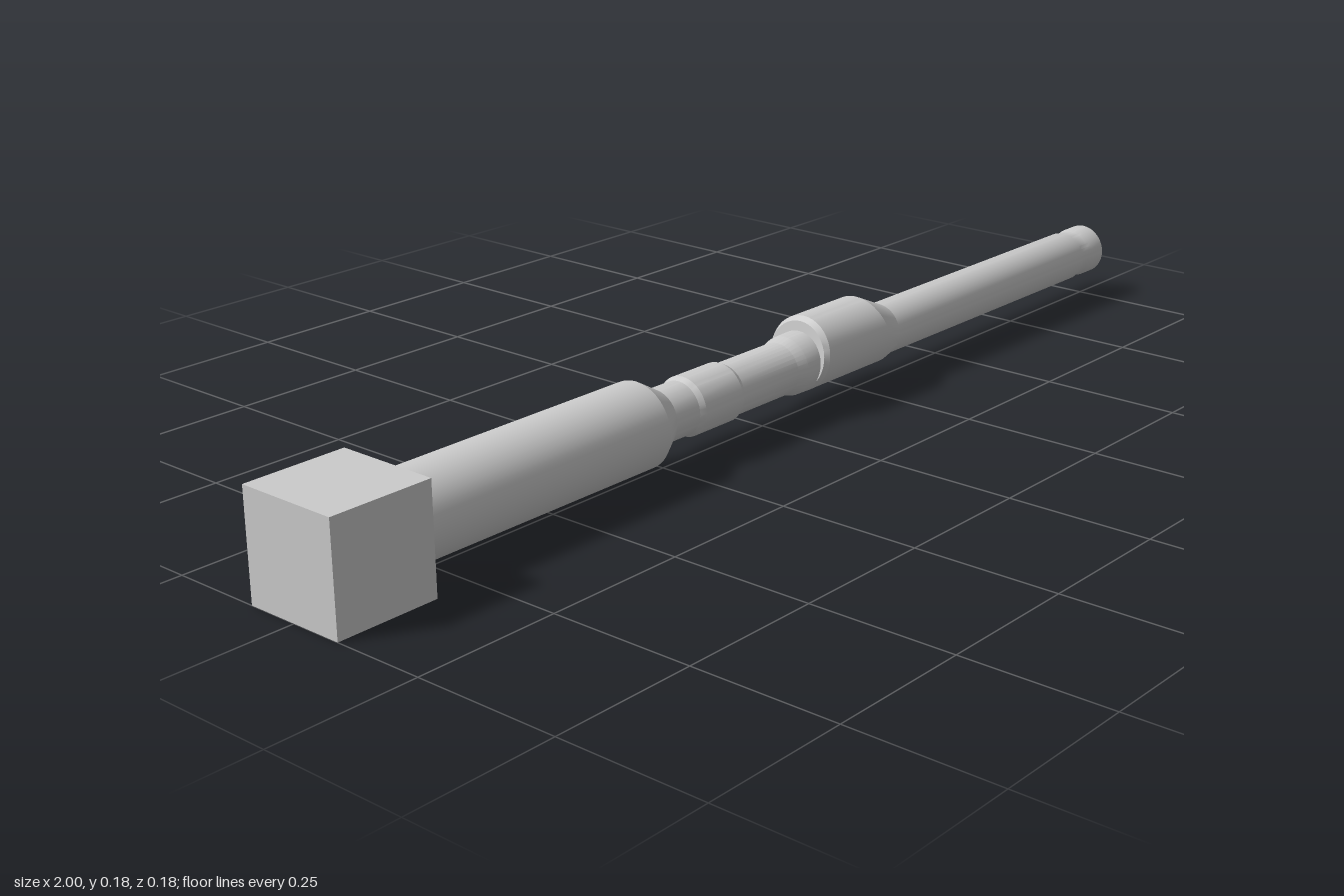
import * as THREE from 'three';
import { toCreasedNormals } from 'three/addons/utils/BufferGeometryUtils.js';

const AXIS = 0.091; // height of the tube's centre line
const SIDES = 40;

export function createModel() {
  const group = new THREE.Group();
  const material = new THREE.MeshStandardMaterial({ color: 0xcccccc });

  const add = (name, geometry) => {
    const mesh = new THREE.Mesh(toCreasedNormals(geometry, 0.3), material);
    mesh.name = name;
    group.add(mesh);
  };

  // Revolve [x, radius] pairs around the long axis
  const turned = (name, profile) => {
    const points = profile.map(([x, r]) => new THREE.Vector2(r, x));
    add(name, new THREE.LatheGeometry(points, SIDES).rotateZ(-Math.PI / 2).translate(0, AXIS, 0));
  };

  // Square block at the rear end
  add('endBlock', new THREE.BoxGeometry(0.18, 0.182, 0.182).translate(-0.91, AXIS, 0));

  // Thick rear sleeve with a tapered shoulder
  turned('rearSleeve', [[-0.83, 0], [-0.83, 0.073], [-0.31, 0.073], [-0.265, 0.047], [-0.265, 0]]);

  // Slim tube with a raised band, a flare, a muzzle neck and a hollow bore
  turned('tube', [
    [-0.28, 0.046], [-0.21, 0.046], [-0.2, 0.051], [-0.11, 0.051], [-0.1, 0.046],
    [0.04, 0.046], [0.06, 0.052], [0.1, 0.053], [0.12, 0.0465],
    [0.925, 0.0465], [0.935, 0.044], [0.955, 0.044], [0.965, 0.0465], [1, 0.0465],
    [1, 0.028], [0.85, 0.028], [0.85, 0],
  ]);

  // Offset collar, higher than the tube, with slanted ends: [x, radius, centre y, slant]
  const stations = [
    [0.092, 0.059, 0.102, 0.009],
    [0.102, 0.064, 0.104, 0.009],
    [0.272, 0.064, 0.104, -0.017],
    [0.325, 0.046, AXIS, 0],
  ];
  const spans = stations.length - 1;
  const collar = new THREE.CylinderGeometry(1, 1, 1, SIDES, spans).rotateZ(-Math.PI / 2);
  const p = collar.attributes.position;
  for (let i = 0; i < p.count; i++) {
    const [x, r, cy, slant] = stations[Math.round((p.getX(i) + 0.5) * spans)];
    const y = p.getY(i);
    p.setXYZ(i, x + slant * y, cy + r * y, r * p.getZ(i));
  }
  add('collar', collar);

  return group;
}
